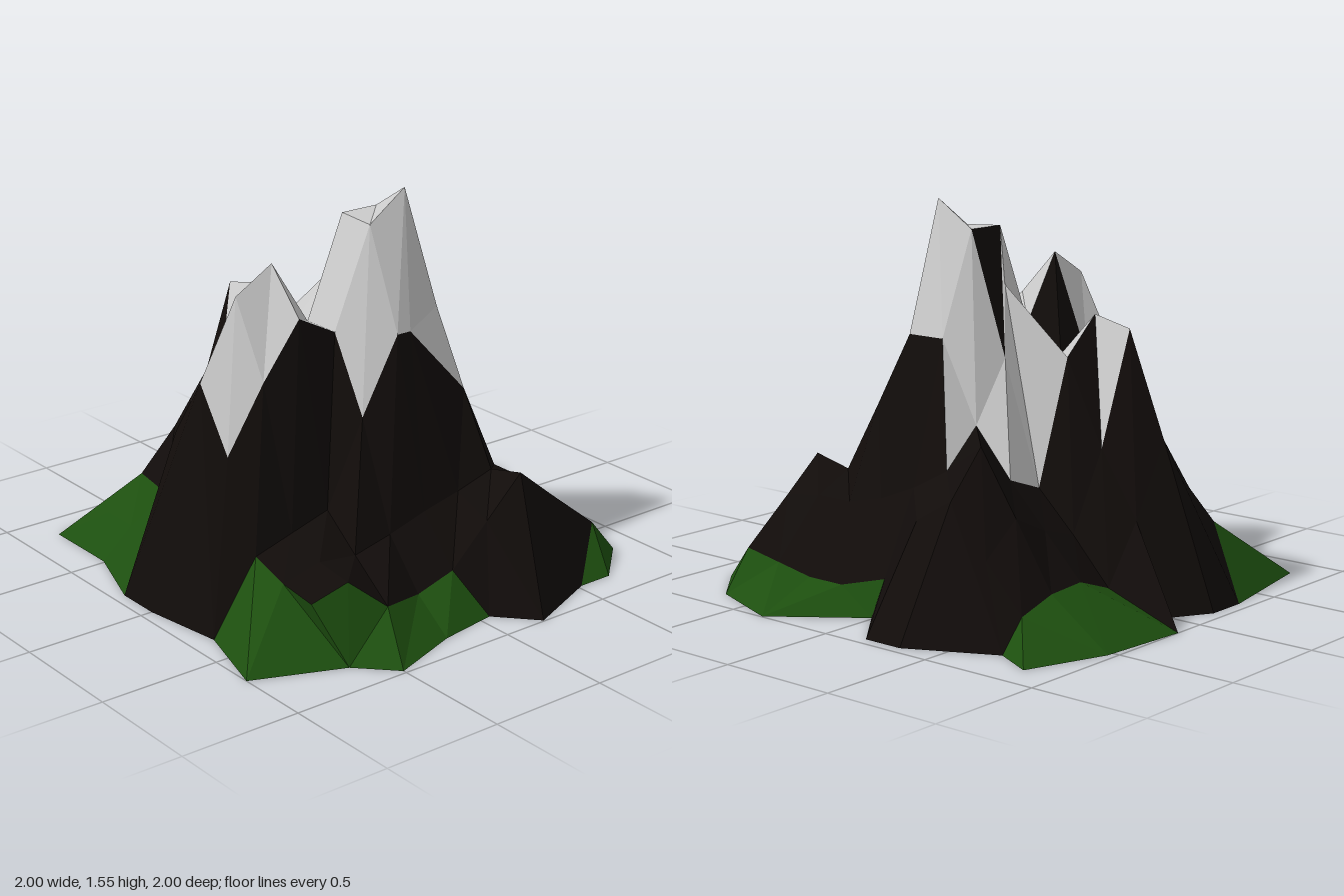
import * as THREE from 'three';

const STEP = 0.172;

// Height profiles across the mountain, from back (z = -0.68) to front (z = 0.69)
const profiles = [
  [0.12, 0.25, 0.42, 0.64, 0.35, 0.12, 0.18, 0.17, 0.12],
  [0.12, 0.22, 0.58, 1.06, 0.61, 0.30, 0.35, 0.43, 0.30],
  [0.20, 0.50, 0.79, 1.10, 0.95, 0.46, 0.52, 0.68, 0.50],
  [0.64, 0.89, 0.88, 0.92, 1.22, 0.95, 0.71, 0.56, 0.40],
  [0.89, 1.20, 1.30, 1.03, 1.44, 1.44, 1.03, 0.47, 0.14],
  [0.64, 0.90, 1.12, 1.03, 1.43, 1.55, 1.03, 0.40, 0.10],
  [0.29, 0.34, 0.39, 0.73, 1.03, 1.03, 0.73, 0.36, 0.10],
  [0.24, 0.28, 0.26, 0.30, 0.35, 0.39, 0.44, 0.36, 0.13],
  [0.22, 0.26, 0.15, 0.11, 0.16, 0.32, 0.48, 0.34, 0.16],
];

// Cover per cell: S snow, A/B snow on the back/front triangle only,
// G grass, g grass on the back triangle only, . rock
const cover = [
  'G.......',
  'g.BA....',
  '.BSSSS..',
  'SS.SASA.',
  'SSSSSS..',
  '...SSS..',
  '........',
  '........',
];

// Foot of the mountain on the ground, as x, z, turning from +x towards +z.
// A third value sets the angle at which the point joins the rim above.
const foot = [
  [0.74, 0.01], [0.995, 0.345], [0.87, 0.68], [0.67, 0.86], [0.52, 0.86, 53],
  [0.19, 0.995, 75], [0.05, 0.84], [-0.2, 0.88], [-0.5, 0.985], [-0.64, 0.84],
  [-1, 0.69], [-0.9, 0.345], [-0.95, 0], [-0.95, -0.19], [-0.84, -0.51],
  [-0.84, -0.85], [-0.33, -0.95, 240], [-0.16, -0.95], [0.01, -0.85], [0.14, -1],
  [0.53, -0.97], [0.865, -0.85], [0.78, -0.68], [0.955, -0.335], [0.955, -0.165],
];

// Sectors of the lower slope, in degrees, that are grassy
const grassSectors = [[0, 51.75], [89, 157], [197, 240], [280, 318]];

function angleOf(p) {
  return (THREE.MathUtils.radToDeg(Math.atan2(p.z, p.x)) + 360) % 360;
}

function makeMesh(name, color, triangles) {
  const geometry = new THREE.BufferGeometry().setFromPoints(triangles.flat());
  geometry.computeVertexNormals();
  const material = new THREE.MeshStandardMaterial({
    color, flatShading: true, side: THREE.DoubleSide,
  });
  const mesh = new THREE.Mesh(geometry, material);
  mesh.name = name;
  return mesh;
}

export function createModel() {
  const rock = [], snow = [], grass = [];

  // Regular grid of points, with a few pulled off the grid
  const grid = profiles.map((row, j) => row.map((y, i) =>
    new THREE.Vector3(-0.014 + (i - 4) * STEP, y, 0.005 + (j - 4) * STEP)));
  grid[3][4].set(0.055, 1.22, -0.078);
  grid[6][5].x = 0.05;
  grid[8][2].set(-0.4, 0.15, 0.77);
  for (let j = 4; j < 9; j++) grid[j][8].x = j === 4 ? 0.67 : 0.73;

  // Upper slopes: two triangles per cell
  cover.forEach((line, j) => [...line].forEach((kind, i) => {
    const a = grid[j][i], b = grid[j][i + 1];
    const c = grid[j + 1][i], d = grid[j + 1][i + 1];
    const back = 'SA'.includes(kind) ? snow : 'Gg'.includes(kind) ? grass : rock;
    const front = 'SB'.includes(kind) ? snow : kind === 'G' ? grass : rock;
    back.push([a, c, b]);
    front.push([b, c, d]);
  }));

  // Lower slopes: join the grid's rim to the foot, going round by angle
  const inner = grid.flatMap((row, j) =>
    row.filter((_, i) => j === 0 || j === 8 || i === 0 || i === 8))
    .map((p) => ({ p, angle: angleOf(p) }))
    .sort((a, b) => a.angle - b.angle);
  const outer = foot.map(([x, z, join]) => {
    const p = new THREE.Vector3(x, 0, z);
    return { p, angle: join ?? angleOf(p) };
  });
  const at = (loop, k) => loop[k % loop.length].p;
  const turn = (loop, k) => loop[k % loop.length].angle + (k >= loop.length ? 360 : 0);
  let i = 0, j = 0;
  while (i < inner.length || j < outer.length) {
    const stepInner = j >= outer.length ||
      (i < inner.length && turn(inner, i + 1) < turn(outer, j + 1));
    const p = at(inner, i), q = at(outer, j);
    const triangle = stepInner ? [p, at(inner, ++i), q] : [p, at(outer, ++j), q];
    const centre = new THREE.Vector3();
    triangle.forEach((v) => centre.add(v));
    const angle = angleOf(centre);
    const grassy = grassSectors.some(([from, to]) => angle >= from && angle < to);
    (grassy ? grass : rock).push(triangle);
  }

  const mountain = new THREE.Group();
  mountain.name = 'mountain';
  mountain.add(
    makeMesh('rockSlopes', 0x110c0a, rock),
    makeMesh('snowCaps', 0xcccccc, snow),
    makeMesh('grassFoothills', 0x1d4f0f, grass),
  );
  return mountain;
}
